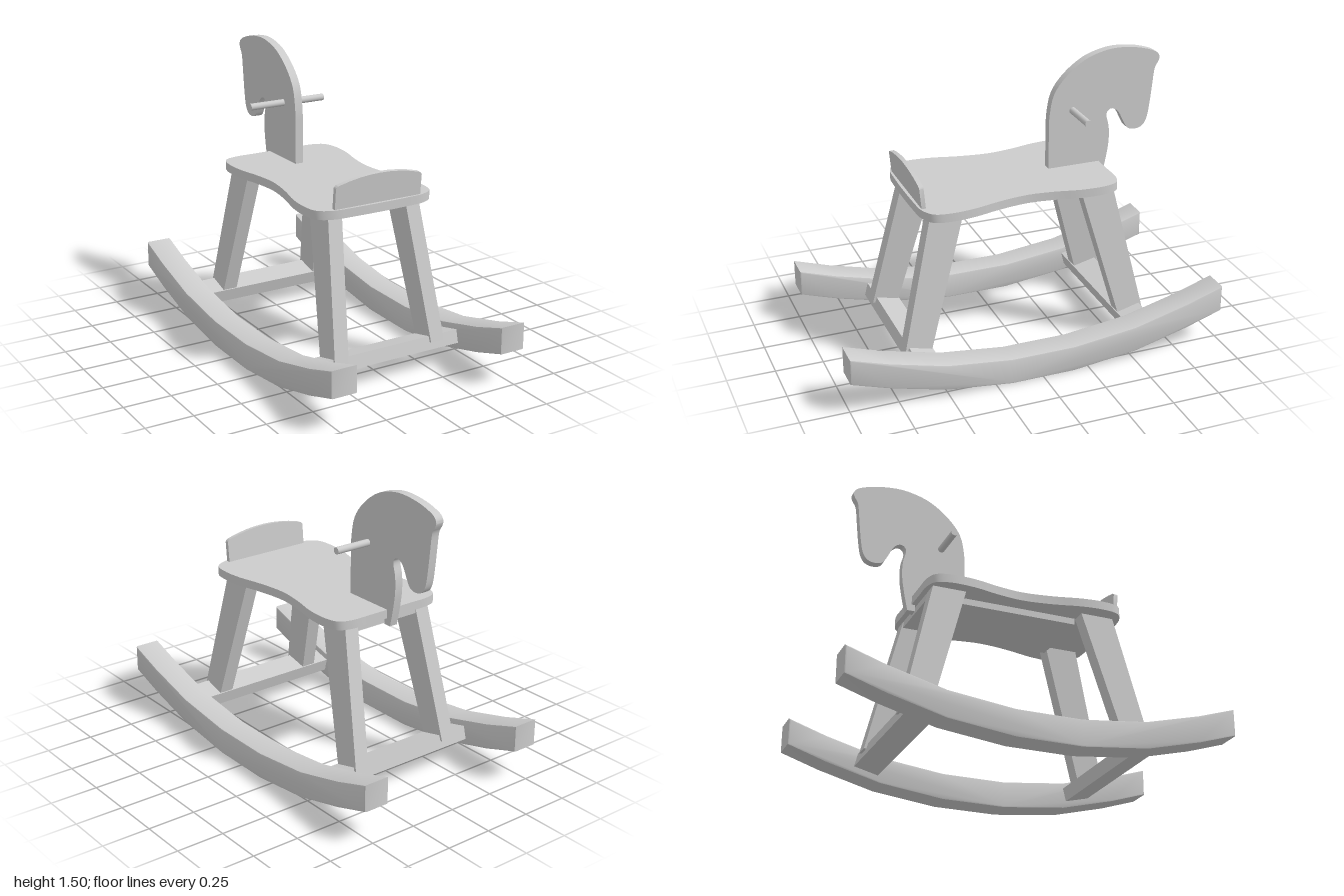
import * as THREE from 'three';
import { toCreasedNormals } from 'three/addons/utils/BufferGeometryUtils.js';

const material = new THREE.MeshStandardMaterial({ color: 0xcccccc });

function add(parent, name, geometry) {
  const mesh = new THREE.Mesh(geometry, material);
  mesh.name = name;
  parent.add(mesh);
  return mesh;
}

// Extrude a shape, centred on its thickness, with an optional small bevel.
function board(shape, thickness, bevel = 0) {
  const geometry = new THREE.ExtrudeGeometry(shape, {
    depth: thickness - 2 * bevel, curveSegments: 8,
    bevelEnabled: bevel > 0, bevelSize: bevel, bevelThickness: bevel, bevelOffset: -bevel, bevelSegments: 2
  });
  geometry.translate(0, 0, -(thickness - 2 * bevel) / 2);
  return toCreasedNormals(geometry, 0.6);
}

// Board standing in the side plane: shape x becomes z, thickness runs along x.
const sideBoard = (shape, thickness, bevel) => board(shape, thickness, bevel).rotateY(-Math.PI / 2);

const shapeOf = (points) => new THREE.Shape(points.map(([a, b]) => new THREE.Vector2(a, b)));

export function createModel() {
  const model = new THREE.Group();
  model.name = 'rockingHorse';

  // Curved rockers, faceted along their length
  const half = [[0.17, 0], [0.51, 0.04], [0.8, 0.115], [1, 0.18]];
  const lower = [...half.map(([z, y]) => [-z, y]).reverse(), ...half];
  const upper = lower.map(([z, y]) => [z, y + 0.14]).reverse();
  for (const side of [-1, 1]) {
    const rocker = add(model, side > 0 ? 'leftRocker' : 'rightRocker',
      sideBoard(shapeOf([...lower, ...upper]), 0.14, 0.008));
    rocker.position.x = side * 0.48;
  }

  // Crossbars tilted to follow the rockers, and splayed legs
  for (const end of [-1, 1]) {
    const endName = end < 0 ? 'head' : 'tail';
    const bar = add(model, endName + 'Crossbar', new THREE.BoxGeometry(0.84, 0.07, 0.13));
    bar.position.set(0, 0.13, end * 0.58);
    bar.rotation.x = -end * 0.245;
    for (const side of [-1, 1]) {
      const leg = new THREE.BoxGeometry(1, 1, 1);
      const p = leg.attributes.position;
      for (let i = 0; i < p.count; i++) {
        const top = p.getY(i) > 0;
        const x = (top ? 0.222 : 0.281) * side + p.getX(i) * 0.078;
        const z = (top ? 0.402 : 0.584) * end + p.getZ(i) * (top ? 0.175 : 0.142);
        p.setXYZ(i, x, top ? 0.855 : 0.15, z);
      }
      leg.computeVertexNormals();
      add(model, endName + (side > 0 ? 'LeftLeg' : 'RightLeg'), leg);
    }
  }

  // Waisted seat
  const edge = [[0.15, 0.54], [0.26, 0.53], [0.325, 0.49], [0.343, 0.41], [0.335, 0.29], [0.3, 0.14],
    [0.28, -0.02], [0.295, -0.16], [0.322, -0.29], [0.325, -0.42], [0.3, -0.49], [0.24, -0.515], [0.13, -0.517]];
  const outline = [...edge, ...edge.map(([x, z]) => [-x, z]).reverse()];
  const seatCurve = new THREE.CatmullRomCurve3(outline.map(([x, z]) => new THREE.Vector3(x, z, 0)), true);
  const seat = board(new THREE.Shape(seatCurve.getPoints(104).slice(0, -1).map((v) => new THREE.Vector2(v.x, v.y))), 0.045);
  add(model, 'seat', seat.rotateX(Math.PI / 2)).position.y = 0.8725;

  // Stiffening board under the seat
  add(model, 'seatSupport', new THREE.BoxGeometry(0.38, 0.035, 0.8)).position.set(0, 0.834, -0.09);

  // Backrest with a bowed top edge, leaning slightly
  const back = new THREE.Shape();
  back.moveTo(-0.245, 0);
  back.lineTo(0.245, 0);
  back.lineTo(0.245, 0.108);
  back.quadraticCurveTo(0.24, 0.12, 0.225, 0.124);
  back.quadraticCurveTo(0, 0.186, -0.225, 0.124);
  back.quadraticCurveTo(-0.24, 0.12, -0.245, 0.108);
  const backrest = add(model, 'backrest', board(back, 0.022));
  backrest.position.set(0, 0.893, 0.515);
  backrest.rotation.x = 0.09;

  // Flat horse head, with its neck passing down over the seat edge
  const headCurve = new THREE.SplineCurve([
    [-0.235, 1.1], [-0.238, 1.19], [-0.262, 1.3], [-0.33, 1.39], [-0.43, 1.463], [-0.53, 1.496],
    [-0.62, 1.504], [-0.73, 1.49], [-0.82, 1.46], [-0.847, 1.43], [-0.84, 1.4], [-0.822, 1.365],
    [-0.812, 1.28], [-0.8, 1.17], [-0.786, 1.095], [-0.76, 1.057], [-0.72, 1.046], [-0.68, 1.057],
    [-0.655, 1.095], [-0.627, 1.15], [-0.598, 1.176], [-0.57, 1.174], [-0.556, 1.145],
    [-0.571, 1.08], [-0.573, 1], [-0.56, 0.91], [-0.54, 0.815]
  ].map(([z, y]) => new THREE.Vector2(z, y)));
  const head = new THREE.Shape([
    new THREE.Vector2(-0.235, 0.88), ...headCurve.getPoints(104),
    new THREE.Vector2(-0.5, 0.815), new THREE.Vector2(-0.5, 0.88)
  ]);
  add(model, 'horseHead', sideBoard(head, 0.044));

  // Handlebar
  const handle = add(model, 'handlebar', new THREE.CylinderGeometry(0.018, 0.018, 0.436, 20));
  handle.rotation.z = Math.PI / 2;
  handle.position.set(0, 1.198, -0.365);

  return model;
}
